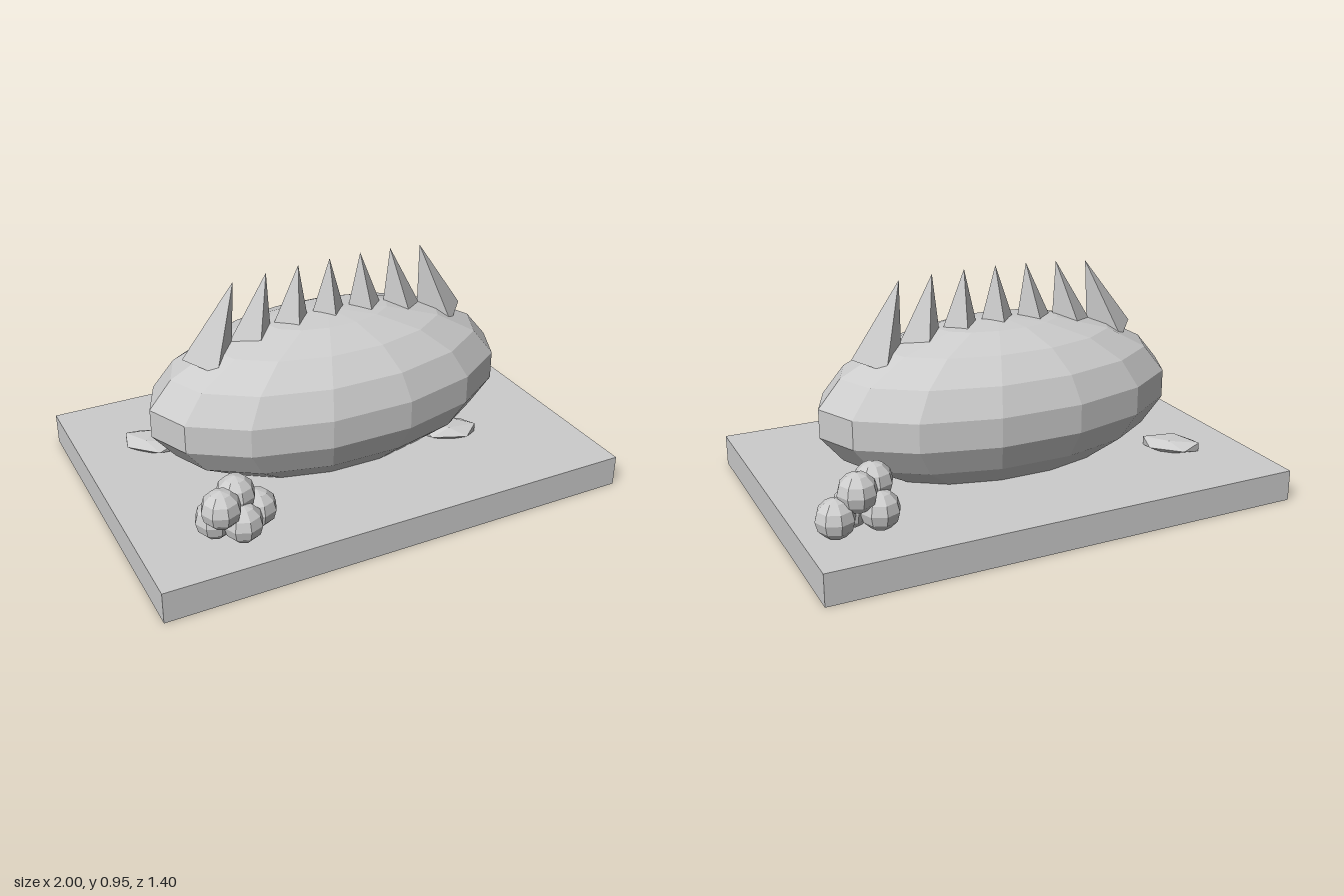
import * as THREE from 'three';

export function createModel() {
  const model = new THREE.Group();
  const stone = new THREE.MeshStandardMaterial({ color: 0xcccccc, flatShading: true });
  stone.name = 'pale grey';

  function add(parent, name, geometry, x, y, z) {
    const mesh = new THREE.Mesh(geometry, stone);
    mesh.name = name;
    mesh.position.set(x, y, z);
    parent.add(mesh);
    return mesh;
  }

  // Slab underneath
  add(model, 'base', new THREE.BoxGeometry(2, 0.13, 1.4), 0, 0.065, 0);

  // Faceted egg-shaped body, sunk a little into the slab
  const body = new THREE.SphereGeometry(1, 14, 9);
  body.scale(0.792, 0.345, 0.421);
  add(model, 'body', body, 0, 0.395, 0);

  // Row of spikes along the back, leaning towards the middle
  const spikes = new THREE.Group();
  spikes.name = 'spikes';
  model.add(spikes);
  const spikeGeometry = new THREE.ConeGeometry(0.11, 0.347, 4);
  spikeGeometry.translate(0, 0.1735, 0);
  for (let i = -3; i <= 3; i++) {
    const spike = add(spikes, 'spike', spikeGeometry, i * 0.177, 0.605, 0);
    spike.rotation.z = i * 0.11 - 0.03;
  }

  // Two heaps of round berries, alternating low and high
  const berryGeometry = new THREE.SphereGeometry(0.078, 8, 6);
  for (const [x, z] of [[-0.705, 0.47], [0.705, -0.472]]) {
    const cluster = new THREE.Group();
    cluster.name = 'berryCluster';
    cluster.position.set(x, 0, z);
    model.add(cluster);
    for (let i = 0; i < 5; i++) {
      add(cluster, 'berry', berryGeometry,
        (i % 3) * 0.086, i % 2 ? 0.299 : 0.213, Math.floor(i / 3) * 0.07);
    }
  }

  // Flat pebbles half tucked under the body
  const pebbleGeometry = new THREE.IcosahedronGeometry(1, 0);
  pebbleGeometry.scale(0.09, 0.036, 0.142);
  for (const [x, z, turn] of [[-0.7, -0.27, Math.PI / 4], [0.48, 0.2, 1.17]]) {
    add(model, 'pebble', pebbleGeometry, x, 0.147, z).rotation.y = turn;
  }

  return model;
}
